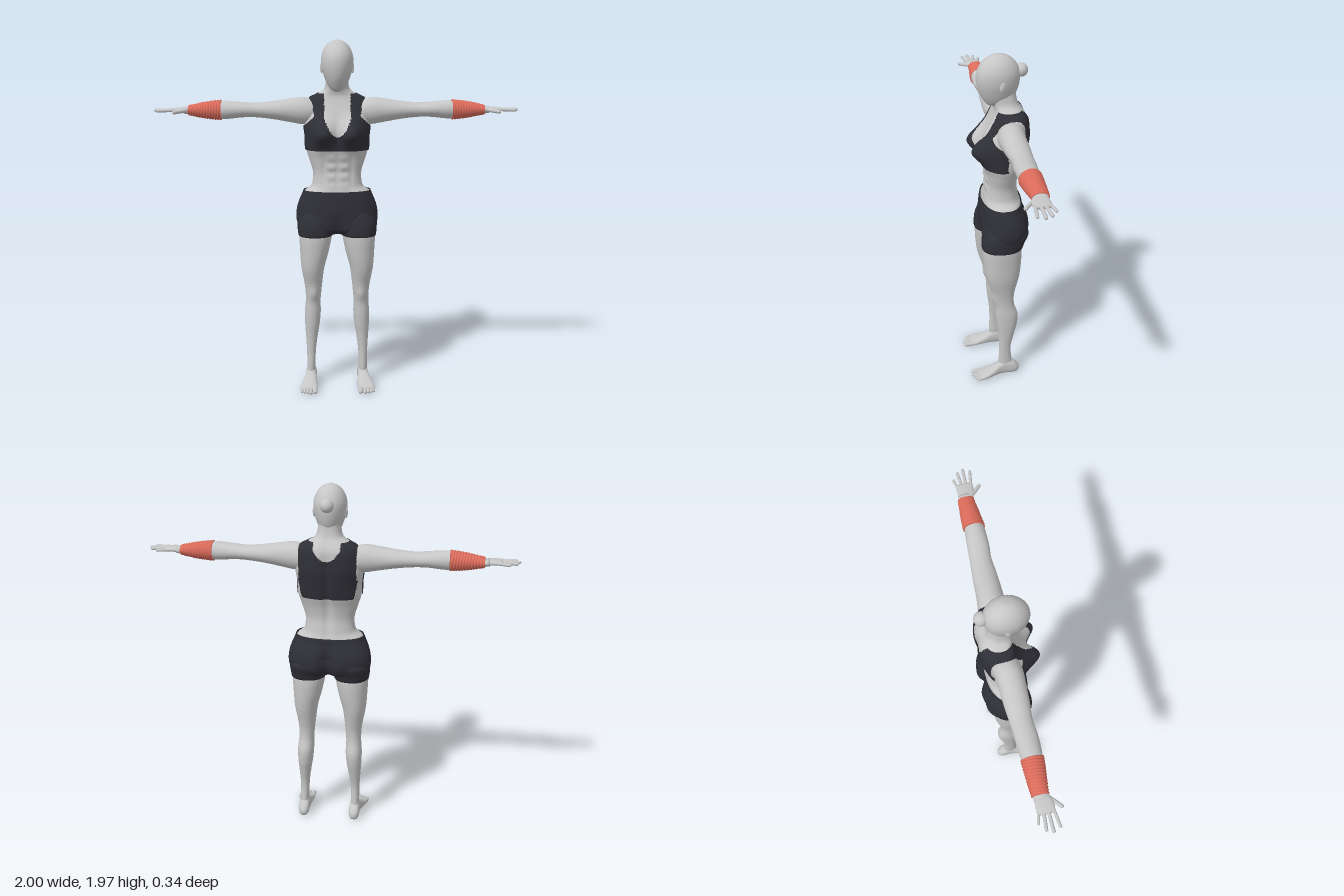
import * as THREE from 'three';

const mat = (name, color, side = THREE.FrontSide) => {
  const m = new THREE.MeshStandardMaterial({ color, side });
  m.name = name;
  return m;
};

// Smooth interpolation of section rows [t, a0, a1, b0, b1]
function sample(rows, t) {
  let i = 0;
  while (i < rows.length - 2 && t > rows[i + 1][0]) i++;
  const slope = (k, c) => {
    const p = rows[Math.max(k - 1, 0)], n = rows[Math.min(k + 1, rows.length - 1)];
    return (n[c] - p[c]) / (n[0] - p[0]);
  };
  const h = rows[i + 1][0] - rows[i][0], s = (t - rows[i][0]) / h, s2 = s * s, s3 = s2 * s;
  return [1, 2, 3, 4].map(c =>
    (2 * s3 - 3 * s2 + 1) * rows[i][c] + (s3 - 2 * s2 + s) * h * slope(i, c) +
    (3 * s2 - 2 * s3) * rows[i + 1][c] + (s3 - s2) * h * slope(i + 1, c));
}

// Order of (a, b, t) for each loft axis
const place = {
  y: (a, b, t) => new THREE.Vector3(b, t, a),
  x: (a, b, t) => new THREE.Vector3(t, a, b),
  z: (a, b, t) => new THREE.Vector3(a, b, t),
};

// Skin through rounded cross-sections; keep() picks a patch of the surface
function loft(axis, rows, { n = 40, m = 40, p = 2, grow = 0, from, to, bump, keep, caps = true } = {}) {
  const t0 = from ?? rows[0][0], t1 = to ?? rows[rows.length - 1][0], pts = [], index = [];
  const pw = v => Math.sign(v) * Math.abs(v) ** (2 / p);
  const steps = [...Array(m + 1).keys()].map(i => [i / m, 1]);
  if (caps) { steps.unshift([0, 0]); steps.push([1, 0]); }
  for (const [f, size] of steps) {
    const t = t0 + (t1 - t0) * f, [a0, a1, b0, b1] = sample(rows, t);
    for (let j = 0; j < n; j++) {
      const q = j / n * Math.PI * 2;
      const v = place[axis](
        (a0 + a1) / 2 + ((a1 - a0) / 2 + grow) * pw(Math.cos(q)) * size,
        (b0 + b1) / 2 + ((b1 - b0) / 2 + grow) * pw(Math.sin(q)) * size, t);
      if (bump && size) bump(v);
      pts.push(v);
    }
  }
  for (let i = 0; i < steps.length - 1; i++) for (let j = 0; j < n; j++) {
    const a = i * n + j, b = i * n + (j + 1) % n, c = a + n, d = b + n;
    index.push(a, b, c, b, d, c);
  }
  const g = new THREE.BufferGeometry().setFromPoints(pts);
  g.setIndex(index);
  g.computeVertexNormals();
  if (keep) {
    const kept = [];
    for (let k = 0; k < index.length; k += 6) {
      const mid = pts[index[k]].clone().add(pts[index[k + 4]]).multiplyScalar(0.5);
      if (keep(mid)) kept.push(...index.slice(k, k + 6));
    }
    g.setIndex(kept);
  }
  return g;
}

function mirrored(geo) {
  const g = geo.clone().scale(-1, 1, 1), ix = g.index.array;
  for (let k = 0; k < ix.length; k += 3) [ix[k], ix[k + 1]] = [ix[k + 1], ix[k]];
  return g;
}

// Rounded finger or toe between two points
function digit(a, b, r) {
  const A = new THREE.Vector3(...a), B = new THREE.Vector3(...b), d = B.clone().sub(A);
  const g = new THREE.CapsuleGeometry(r, d.length() - r, 5, 12);
  g.applyQuaternion(new THREE.Quaternion().setFromUnitVectors(new THREE.Vector3(0, 1, 0), d.clone().normalize()));
  const c = A.add(B).multiplyScalar(0.5);
  return g.translate(c.x, c.y, c.z);
}

const bell = (v, c, w) => Math.exp(-(((v - c) / w) ** 2));
const clamp = THREE.MathUtils.clamp, lerp = THREE.MathUtils.mapLinear;
const sym = rows => rows.map(([y, back, front, w]) => [y, back, front, -w, w]);

export function createModel() {
  const root = new THREE.Group();
  const skin = mat('skin grey', 0xc6c6c6);
  const cloth = mat('dark cloth', 0x2f2f37, THREE.DoubleSide);
  const wrap = mat('red wrap', 0xdb6b5b);
  const add = (name, geo, m = skin) => {
    const mesh = new THREE.Mesh(geo, m);
    mesh.name = name;
    root.add(mesh);
  };
  const pair = (name, geo, m = skin) => {
    add('left' + name, geo, m);
    add('right' + name, mirrored(geo), m);
  };

  // Torso and neck: y, back z, front z, half width
  const torso = sym([
    [1.08, -.135, .075, .19], [1.14, -.13, .075, .182], [1.165, -.123, .07, .15], [1.19, -.118, .066, .138],
    [1.25, -.11, .06, .135], [1.32, -.12, .065, .155], [1.38, -.14, .077, .172], [1.45, -.153, .075, .175],
    [1.52, -.162, .06, .183], [1.58, -.162, .04, .178], [1.63, -.16, .02, .166], [1.657, -.15, .01, .148],
    [1.675, -.137, .008, .112], [1.70, -.12, .014, .075], [1.74, -.11, .028, .062], [1.79, -.105, .035, .058],
  ]);
  const muscles = v => {
    const ax = Math.abs(v.x), y = v.y;
    if (v.z > -.035) {
      const f = clamp((v.z + .035) / .07, 0, 1);
      v.z += .072 * f * bell(ax, .082, .062) * bell(y, 1.468, y < 1.468 ? .062 : .075);
      const belly = bell(y, 1.265, .085) * f;
      v.z += belly * (.004 * bell(ax, .034, .022) * Math.cos((y - 1.28) * 115) - .007 * bell(ax, 0, .009)
        - .006 * bell(ax, .075, .014));
    } else {
      const f = clamp((-.035 - v.z) / .07, 0, 1);
      v.z += f * (.016 * bell(ax, 0, .022) * bell(y, 1.38, .25) - .007 * bell(ax, .085, .04) * bell(y, 1.55, .08));
    }
  };
  add('torso', loft('y', torso, { n: 96, m: 130, p: 2.3, bump: muscles }));

  // Sports top: a patch over the torso with neckline, armholes and open sides
  const covers = ({ x, y, z }) => {
    const ax = Math.abs(x);
    if (y < 1.372 || y > 1.68) return false;
    if (y < 1.58 && ax > .1 && z < -.035 && z > -.11) return false;
    const front = z > -.06, low = front ? 1.45 : 1.585;
    const inner = y < low ? -1 : .072 * Math.sqrt(Math.min(1, (y - low) / (front ? .1 : .06)));
    let outer = 1;
    if (front && y > 1.5) outer = y < 1.56 ? lerp(y, 1.5, 1.56, .19, .125) : lerp(y, 1.56, 1.66, .125, .155);
    if (!front && y > 1.48) outer = .155;
    return ax > inner && ax < outer;
  };
  add('sportsTop', loft('y', torso, {
    n: 180, m: 130, p: 2.3, grow: .006, from: 1.37, to: 1.685, bump: muscles, keep: covers, caps: false,
  }), cloth);

  // Head, hair bun and ears
  add('head', loft('y', sym([
    [1.69, -.03, .02, .012], [1.70, -.06, .045, .032], [1.73, -.09, .068, .054], [1.77, -.113, .088, .071],
    [1.82, -.126, .1, .085], [1.87, -.128, .099, .088], [1.91, -.114, .083, .078], [1.94, -.09, .057, .06],
    [1.96, -.06, .025, .035], [1.969, -.03, -.005, .008],
  ]), { n: 48, m: 60 }));
  add('hairBun', new THREE.SphereGeometry(.036, 24, 16).translate(0, 1.875, -.135));
  pair('Ear', new THREE.SphereGeometry(1, 16, 12).scale(.009, .03, .016).rotateX(-.2).translate(.084, 1.82, -.022));

  // Arms: x, bottom, top, back z, front z
  const arm = [
    [.09, 1.53, 1.62, -.12, 0], [.14, 1.512, 1.648, -.125, .018], [.19, 1.51, 1.659, -.118, .026],
    [.25, 1.52, 1.653, -.112, .025], [.35, 1.538, 1.638, -.108, .02], [.45, 1.549, 1.629, -.1, .012],
    [.52, 1.549, 1.633, -.097, .018], [.62, 1.54, 1.64, -.09, .016], [.72, 1.548, 1.63, -.086, .006],
    [.81, 1.565, 1.612, -.08, -.004], [.84, 1.57, 1.607, -.078, .004],
  ];
  pair('Arm', loft('x', arm, { m: 60 }));
  pair('WristWrap', loft('x', arm, {
    m: 96, grow: .005, from: .635, to: .815,
    bump: v => {
      const r = 1 + .035 * Math.sin(v.x * 420 + 2 * Math.atan2(v.y - 1.59, v.z + .04));
      v.y = 1.59 + (v.y - 1.59) * r;
      v.z = -.038 + (v.z + .038) * r;
    },
  }), wrap);

  // Hands
  pair('Palm', loft('x', [
    [.80, 1.57, 1.607, -.07, -.01], [.84, 1.574, 1.606, -.076, .008], [.875, 1.579, 1.603, -.078, .012],
    [.905, 1.582, 1.6, -.07, .006],
  ], { n: 28, m: 16, p: 2.4 }));
  const fingers = {
    Thumb: [[.835, 1.588, -.002], [.888, 1.582, .047], .010],
    IndexFinger: [[.885, 1.591, .001], [.98, 1.589, .014], .0085],
    MiddleFinger: [[.89, 1.592, -.024], [.996, 1.59, -.022], .0088],
    RingFinger: [[.885, 1.591, -.046], [.982, 1.589, -.054], .0085],
    LittleFinger: [[.87, 1.59, -.066], [.945, 1.588, -.083], .0075],
  };
  for (const [name, f] of Object.entries(fingers)) pair(name, digit(...f));

  // Shorts: hips with a rear cleft, then two leg cuffs
  add('shortsHips', loft('y', sym([
    [.905, -.09, .07, .13], [.93, -.14, .09, .2], [.96, -.165, .094, .224], [1.0, -.175, .093, .23],
    [1.05, -.17, .091, .224], [1.09, -.155, .088, .211], [1.12, -.142, .085, .198], [1.147, -.136, .081, .187],
  ]), {
    n: 96, m: 50, p: 2.3, caps: false,
    bump: v => {
      const fade = clamp((1.13 - v.y) / .1, 0, 1), ax = Math.abs(v.x);
      if (v.z < -.05) v.z += fade * .04 * bell(ax, 0, .035);
      else if (v.z > .02) v.z -= fade * .02 * bell(ax, 0, .04) * clamp((1.04 - v.y) / .1, 0, 1);
    },
  }), cloth);
  pair('ShortsCuff', loft('y', [
    [.893, -.127, .1, .025, .219], [.93, -.14, .1, .018, .223], [.98, -.16, .092, .01, .222], [1.04, -.13, .07, .03, .19],
  ], { m: 16, p: 2.3 }), cloth);

  // Legs: y, back z, front z, inner x, outer x
  pair('Leg', loft('y', [
    [.05, -.075, .01, .127, .176], [.1, -.068, .01, .126, .174], [.2, -.062, .007, .123, .175],
    [.3, -.083, .012, .11, .181], [.36, -.098, .02, .1, .185], [.43, -.102, .027, .094, .186],
    [.5, -.082, .03, .095, .18], [.56, -.08, .04, .09, .181], [.61, -.088, .052, .085, .187],
    [.7, -.108, .079, .073, .203], [.8, -.12, .092, .047, .21], [.9, -.12, .094, .03, .213], [.96, -.1, .08, .04, .2],
  ], {
    n: 48, m: 80, p: 2.15,
    bump: v => { if (v.z > -.01) v.z += .01 * bell(v.x, .135, .028) * bell(v.y, .55, .035); },
  }));

  // Feet: z, inner x, outer x, bottom, top
  pair('Foot', loft('z', [
    [-.112, .14, .16, .02, .045], [-.1, .126, .174, .007, .062], [-.075, .119, .18, .002, .085],
    [-.03, .12, .18, .002, .1], [.01, .12, .185, .004, .082], [.05, .117, .198, .004, .058],
    [.1, .115, .212, .002, .038], [.135, .117, .212, .003, .028],
  ], { n: 36, m: 36, p: 2.5 }));
  for (let i = 0; i < 5; i++) {
    const x = [.13, .154, .172, .189, .204][i], tip = [.166, .168, .162, .154, .144][i], r = [.0135, .01, .0095, .009, .008][i];
    pair('Toe' + (i + 1), digit([x - .002, .018, .11], [x, r + .001, tip], r));
  }
  return root;
}
